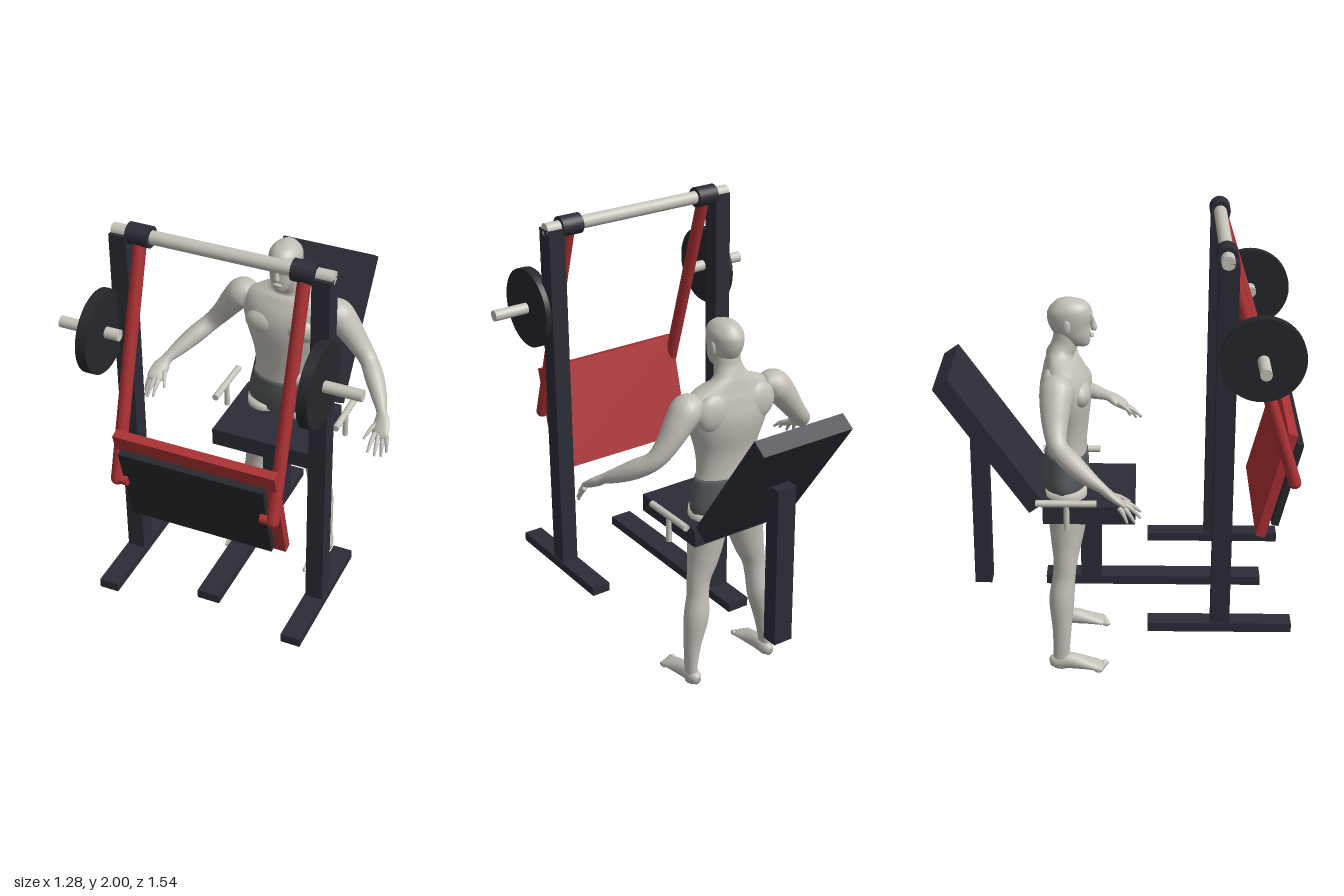
import * as THREE from 'three';

const mat = (name, color) => Object.assign(new THREE.MeshStandardMaterial({ color }), { name });

// Smooth body through elliptical sections [x, y, z, ra, rb]; ra lies along ref
function loft(sections, ref, sides = 24, sub = 4) {
  const centres = new THREE.CatmullRomCurve3(sections.map(s => new THREE.Vector3(s[0], s[1], s[2])), false, 'catmullrom');
  const radii = new THREE.CatmullRomCurve3(sections.map(s => new THREE.Vector3(s[3], s[4], 0)), false, 'catmullrom');
  const rings = (sections.length - 1) * sub;
  const pos = [], index = [];
  const add = v => pos.push(v.x, v.y, v.z);
  for (let i = 0; i <= rings; i++) {
    const c = centres.getPoint(i / rings), r = radii.getPoint(i / rings);
    const t = centres.getTangent(i / rings);
    const u = ref.clone().addScaledVector(t, -ref.dot(t)).normalize();
    const v = t.clone().cross(u);
    for (let j = 0; j < sides; j++) {
      const a = j / sides * Math.PI * 2;
      add(c.clone().addScaledVector(u, Math.cos(a) * Math.max(r.x, 0.001))
        .addScaledVector(v, Math.sin(a) * Math.max(r.y, 0.001)));
      if (i < rings) {
        const p = i * sides + j, q = i * sides + (j + 1) % sides;
        index.push(p, q, p + sides, q, q + sides, p + sides);
      }
    }
  }
  // End caps
  add(centres.getPoint(0));
  add(centres.getPoint(1));
  const n = (rings + 1) * sides;
  for (let j = 0; j < sides; j++) {
    const k = (j + 1) % sides, e = rings * sides;
    index.push(n, k, j, n + 1, e + j, e + k);
  }
  const g = new THREE.BufferGeometry();
  g.setAttribute('position', new THREE.Float32BufferAttribute(pos, 3));
  g.setIndex(index);
  g.computeVertexNormals();
  return g;
}

export function createModel() {
  const model = new THREE.Group();
  model.name = 'chestPressMachineWithFigure';
  const frame = mat('dark frame', 0x2b2c36);
  const rubber = mat('black pad', 0x25272c);
  const red = mat('red lever', 0xab3033);
  const metal = mat('pale metal', 0xc6c3b9);
  const skin = mat('pale grey skin', 0xc2beb6);
  const cloth = mat('grey shorts', 0x54585b);
  const X = new THREE.Vector3(1, 0, 0), Z = new THREE.Vector3(0, 0, 1);

  const put = (name, geo, material, parent = model) => {
    const m = new THREE.Mesh(geo, material);
    m.name = name;
    parent.add(m);
    return m;
  };
  const box = (name, material, [x0, x1], [y0, y1], [z0, z1]) =>
    put(name, new THREE.BoxGeometry(x1 - x0, y1 - y0, z1 - z0), material)
      .position.set((x0 + x1) / 2, (y0 + y1) / 2, (z0 + z1) / 2);
  const tilted = (name, material, size, y, z, angle) => {
    const m = put(name, new THREE.BoxGeometry(...size), material);
    m.position.set(0, y, z);
    m.rotation.x = angle;
  };
  const rod = (name, material, a, b, r, sides = 28) => {
    const p = new THREE.Vector3(...a), q = new THREE.Vector3(...b);
    const m = put(name, new THREE.CylinderGeometry(r, r, p.distanceTo(q), sides), material);
    m.position.copy(p).add(q).multiplyScalar(0.5);
    m.quaternion.setFromUnitVectors(new THREE.Vector3(0, 1, 0), q.sub(p).normalize());
  };
  const ball = (name, material, centre, radii, parent) => {
    const m = put(name, new THREE.SphereGeometry(1, 20, 14), material, parent);
    m.position.set(...centre);
    m.scale.set(...radii);
  };

  // Bench
  box('centreBeam', frame, [-0.05, 0.05], [0.345, 0.385], [-0.32, 0.63]);
  box('seatPost', frame, [-0.05, 0.05], [0.385, 0.73], [-0.165, -0.075]);
  box('seat', frame, [-0.23, 0.23], [0.73, 0.81], [-0.32, 0.075]);
  box('backPost', frame, [-0.045, 0.045], [0.345, 1.08], [-0.64, -0.565]);
  tilted('backrest', frame, [0.44, 0.683, 0.078], 1.08, -0.541, -0.608);

  // Top bar, swinging plate and pad
  rod('topBar', metal, [-0.46, 1.96, 0.43], [0.46, 1.96, 0.43], 0.028);
  tilted('pressPlate', red, [0.705, 0.478, 0.04], 0.971, 0.66, 0.255);
  tilted('pressPad', rubber, [0.63, 0.38, 0.03], 0.958, 0.709, 0.245);

  for (const s of [-1, 1]) {
    const side = s > 0 ? 'left' : 'right';
    const span = (a, b) => s > 0 ? [a, b] : [-b, -a];
    // Stand
    box(side + 'Upright', frame, span(0.385, 0.46), [0.385, 1.96], [0.395, 0.475]);
    box(side + 'Foot', frame, span(0.38, 0.465), [0.345, 0.385], [0.13, 0.735]);
    // Lever arm
    rod(side + 'Collar', frame, [s * 0.295, 1.96, 0.43], [s * 0.392, 1.96, 0.43], 0.044);
    rod(side + 'LeverArm', red, [s * 0.343, 1.95, 0.433], [s * 0.343, 0.985, 0.735], 0.027);
    ball(side + 'LeverEnd', red, [s * 0.343, 0.985, 0.735], [0.027, 0.027, 0.027]);
    rod(side + 'LeverPeg', red, [s * 0.343, 0.988, 0.737], [s * 0.293, 0.988, 0.737], 0.021);
    // Weights
    rod(side + 'WeightRod', metal, [s * 0.38, 1.573, 0.576], [s * 0.642, 1.573, 0.576], 0.024);
    rod(side + 'WeightDisc', rubber, [s * 0.44, 1.573, 0.576], [s * 0.485, 1.573, 0.576], 0.173, 48);
    // Seat handles
    rod(side + 'HandleGrip', metal, [s * 0.29, 0.855, -0.345], [s * 0.29, 0.855, -0.088], 0.015);
    rod(side + 'HandlePost', metal, [s * 0.29, 0.735, -0.215], [s * 0.29, 0.855, -0.215], 0.012);
  }

  // Standing figure
  const figure = new THREE.Group();
  figure.name = 'figure';
  model.add(figure);
  put('torso', loft([
    [0, 0.93, -0.225, 0.16, 0.09], [0, 1.03, -0.222, 0.143, 0.085], [0, 1.12, -0.22, 0.152, 0.092],
    [0, 1.22, -0.225, 0.185, 0.108], [0, 1.30, -0.23, 0.205, 0.106], [0, 1.37, -0.24, 0.2, 0.082],
    [0, 1.41, -0.245, 0.14, 0.062], [0, 1.44, -0.24, 0.08, 0.055], [0, 1.48, -0.225, 0.06, 0.055],
    [0, 1.54, -0.215, 0.055, 0.055]], X, 36), skin, figure);
  put('shorts', loft([
    [0, 0.815, -0.23, 0.172, 0.09], [0, 0.86, -0.232, 0.183, 0.1], [0, 0.92, -0.228, 0.172, 0.1],
    [0, 0.99, -0.225, 0.152, 0.092]], X, 36), cloth, figure);
  put('head', loft([
    [0, 1.458, -0.15, 0.012, 0.012], [0, 1.472, -0.152, 0.034, 0.036], [0, 1.50, -0.168, 0.053, 0.058],
    [0, 1.54, -0.19, 0.064, 0.082], [0, 1.585, -0.203, 0.07, 0.096], [0, 1.625, -0.206, 0.067, 0.09],
    [0, 1.655, -0.208, 0.046, 0.062], [0, 1.668, -0.208, 0.02, 0.026], [0, 1.671, -0.208, 0.001, 0.001]],
    X, 32), skin, figure);
  put('nose', loft([[0, 1.53, -0.108, 0.012, 0.008], [0, 1.54, -0.104, 0.014, 0.014],
    [0, 1.565, -0.107, 0.008, 0.01], [0, 1.59, -0.112, 0.006, 0.006]], X, 12), skin, figure);
  ball('lips', skin, [0, 1.507, -0.112], [0.022, 0.008, 0.009], figure);

  for (const s of [-1, 1]) {
    const side = s > 0 ? 'left' : 'right';
    const flip = list => list.map(([x, ...rest]) => [x * s, ...rest]);
    ball(side + 'Ear', skin, [s * 0.069, 1.56, -0.215], [0.009, 0.03, 0.017], figure);
    ball(side + 'Chest', skin, [s * 0.085, 1.275, -0.165], [0.085, 0.06, 0.05], figure);
    ball(side + 'ShoulderBlade', skin, [s * 0.11, 1.31, -0.285], [0.085, 0.085, 0.042], figure);
    // Arm and palm
    put(side + 'Arm', loft(flip([
      [0.16, 1.365, -0.245, 0.04, 0.03], [0.215, 1.345, -0.25, 0.07, 0.065], [0.262, 1.295, -0.255, 0.066, 0.06],
      [0.32, 1.215, -0.255, 0.052, 0.047], [0.375, 1.15, -0.24, 0.04, 0.04], [0.425, 1.105, -0.185, 0.043, 0.041],
      [0.475, 1.06, -0.115, 0.033, 0.033], [0.507, 1.03, -0.06, 0.021, 0.024], [0.521, 1.005, -0.025, 0.019, 0.036],
      [0.531, 0.975, 0.02, 0.014, 0.037], [0.534, 0.962, 0.036, 0.006, 0.026]]), Z, 22), skin, figure);
    // Fingers and thumb: base x, y, z then tip x, y, z
    const fingers = [
      [0.558, 0.968, 0.012, 0.572, 0.905, 0.045], [0.545, 0.968, 0.025, 0.558, 0.9, 0.075],
      [0.528, 0.972, 0.03, 0.535, 0.912, 0.098], [0.51, 0.975, 0.025, 0.505, 0.925, 0.1],
      [0.505, 1.0, -0.025, 0.47, 0.955, 0.055]];
    fingers.forEach(([x, y, z, a, b, c], i) => put(side + (i < 4 ? 'Finger' : 'Thumb'), loft(flip([
      [x, y, z, 0.011, 0.011], [(x + a) / 2, (y + b) / 2 + 0.006, (z + c) / 2, 0.009, 0.009],
      [a, b, c, 0.005, 0.005]]), X, 10), skin, figure));
    // Leg
    put(side + 'Leg', loft(flip([
      [0.205, 0.01, -0.255, 0.024, 0.034], [0.203, 0.09, -0.25, 0.026, 0.036], [0.192, 0.2, -0.247, 0.038, 0.042],
      [0.172, 0.33, -0.247, 0.055, 0.055], [0.157, 0.43, -0.237, 0.049, 0.05], [0.147, 0.51, -0.23, 0.053, 0.052],
      [0.122, 0.6, -0.225, 0.069, 0.068], [0.102, 0.71, -0.22, 0.083, 0.084], [0.095, 0.84, -0.225, 0.085, 0.09]]),
      X, 24), skin, figure);
    // Foot and toes
    put(side + 'Foot', loft(flip([
      [0.2, 0.028, -0.3, 0.016, 0.02], [0.2, 0.036, -0.275, 0.03, 0.034], [0.2, 0.04, -0.22, 0.034, 0.038],
      [0.202, 0.028, -0.14, 0.041, 0.026], [0.204, 0.017, -0.085, 0.044, 0.016], [0.204, 0.013, -0.068, 0.034, 0.01]]),
      X, 20), skin, figure);
    for (let i = 0; i < 5; i++)
      ball(side + 'Toe', skin, [s * (0.173 + i * 0.017), 0.013, -0.06 - i * 0.006],
        [i ? 0.008 : 0.012, 0.012, 0.02], figure);
  }
  return model;
}
